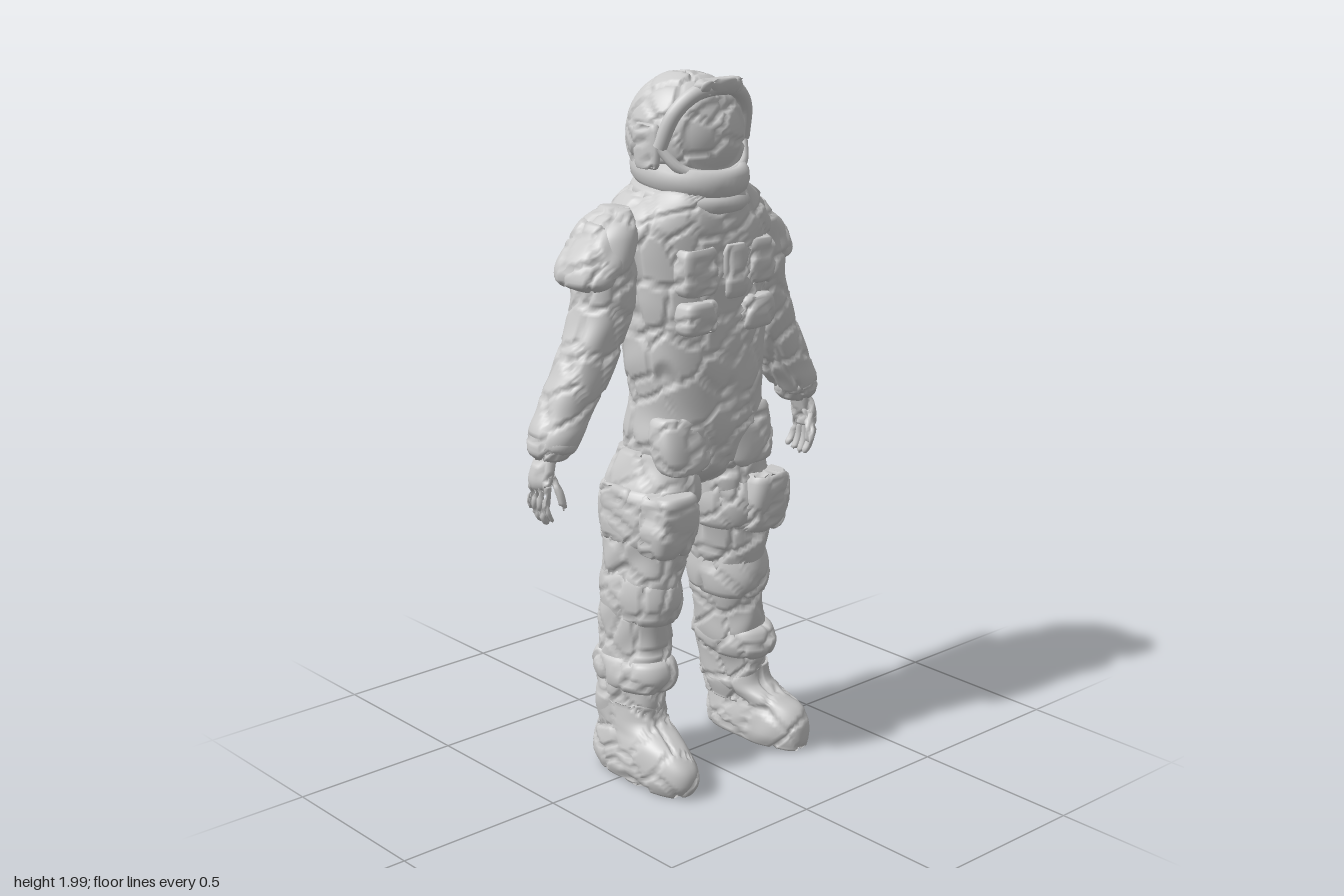
import * as THREE from 'three';

const RES = 0.011, CELL = 0.105;
const material = new THREE.MeshStandardMaterial({ color: 0xcccccc });

// repeatable hash, 0..1
function hash(a, b, c, k) {
  const s = Math.sin(a * 127.1 + b * 311.7 + c * 74.7 + k * 53.3) * 43758.5453;
  return s - Math.floor(s);
}

// distance to the nearest crack between shards, and the shard's own lift
function shard(p) {
  const seeds = [];
  const [ci, cj, ck] = [p.x, p.y, p.z].map((v) => Math.floor(v / CELL));
  for (let i = ci - 1; i <= ci + 1; i++)
    for (let j = cj - 1; j <= cj + 1; j++)
      for (let k = ck - 1; k <= ck + 1; k++) {
        const x = (i + hash(i, j, k, 1)) * CELL, y = (j + hash(i, j, k, 2)) * CELL, z = (k + hash(i, j, k, 3)) * CELL;
        seeds.push({ x, y, z, lift: hash(i, j, k, 4) - 0.5, d: (x - p.x) ** 2 + (y - p.y) ** 2 + (z - p.z) ** 2 });
      }
  let near = seeds[0];
  for (const s of seeds) if (s.d < near.d) near = s;
  let edge = 1;
  for (const s of seeds) if (s !== near)
    edge = Math.min(edge, (s.d - near.d) / (2 * Math.hypot(s.x - near.x, s.y - near.y, s.z - near.z)));
  return { edge, lift: near.lift };
}

// push the surface into soft folds and carve the cracks
function crack(geo, folds) {
  geo.computeVertexNormals();
  const pos = geo.attributes.position, nor = geo.attributes.normal;
  const p = new THREE.Vector3(), n = new THREE.Vector3();
  for (let i = 0; i < pos.count; i++) {
    p.fromBufferAttribute(pos, i);
    n.fromBufferAttribute(nor, i);
    const { edge, lift } = shard(p);
    const fold = Math.sin(p.y * 40 + 4 * Math.sin(p.x * 11 + p.z * 9)) * Math.sin(p.x * 17 - p.z * 13 + p.y * 9);
    const groove = edge < 0.006 ? -0.013 * (1 - edge / 0.006) : 0;
    p.addScaledVector(n, folds * fold + lift * 0.004 + groove);
    pos.setXYZ(i, p.x, p.y, p.z);
  }
  geo.computeVertexNormals();
  return geo;
}

const spline = (a, b, c, d, t) =>
  0.5 * (2 * b + (c - a) * t + (2 * a - 5 * b + 4 * c - d) * t * t + (3 * b - a - 3 * c + d) * t * t * t);

// closed skin through level sections [x, y, z, radiusX, radiusZ], listed upwards
function loft(rings, { power = 2.2, folds = 0.0025, warp } = {}) {
  const last = rings.length - 1, sections = [];
  for (let r = 0; r < last; r++) {
    const q = [rings[Math.max(r - 1, 0)], rings[r], rings[r + 1], rings[Math.min(r + 2, last)]];
    const span = Math.hypot(q[2][1] - q[1][1], Math.max(Math.abs(q[2][3] - q[1][3]), Math.abs(q[2][4] - q[1][4])));
    const steps = Math.max(1, Math.ceil(span / RES));
    for (let s = 0; s < steps; s++)
      sections.push(rings[r].map((_, k) => spline(q[0][k], q[1][k], q[2][k], q[3][k], s / steps)));
  }
  sections.push(rings[last]);
  const widest = Math.max(...rings.map((r) => r[3] + r[4]));
  const segs = Math.max(10, Math.ceil(Math.PI * widest / RES));
  const verts = [], index = [];
  const bend = (c) => Math.sign(c) * Math.abs(c) ** (2 / power);
  for (const [x, y, z, rx, rz] of sections)
    for (let i = 0; i < segs; i++) {
      const a = (i / segs) * Math.PI * 2;
      const v = new THREE.Vector3(x + Math.max(rx, 0.002) * bend(Math.cos(a)), y, z + Math.max(rz, 0.002) * bend(Math.sin(a)));
      if (warp) warp(v);
      verts.push(v.x, v.y, v.z);
    }
  const bottom = sections.length * segs, top = bottom + 1;
  verts.push(...rings[0].slice(0, 3), ...rings[last].slice(0, 3));
  for (let i = 0; i < segs; i++) {
    const n = (i + 1) % segs, t = (sections.length - 1) * segs;
    index.push(bottom, i, n, top, t + n, t + i);
    for (let j = 0; j < sections.length - 1; j++) {
      const a = j * segs + i, b = j * segs + n;
      index.push(a, a + segs, b, b, a + segs, b + segs);
    }
  }
  const geo = new THREE.BufferGeometry();
  geo.setAttribute('position', new THREE.Float32BufferAttribute(verts, 3));
  geo.setIndex(index);
  return crack(geo, folds);
}

// soft-cornered pouch, or with a low power a padded wrap
function pouch(x, y, z, w, h, d, lean = 0, power = 3.6) {
  const ring = (t, s) => [x, y + t * h / 2, z + t * lean, s * w / 2, s * d / 2];
  return loft([ring(-1, 0.72), ring(-0.8, 0.92), ring(0, 1.02), ring(0.8, 0.92), ring(1, 0.72)], { power, folds: 0.0015 });
}

function ellipsoidRings(x, y, z, rx, ry, rz) {
  return Array.from({ length: 13 }, (_, i) => {
    const a = (i / 12 - 0.5) * Math.PI;
    return [x, y + ry * Math.sin(a), z, rx * Math.cos(a), rz * Math.cos(a)];
  });
}

export function createModel() {
  const model = new THREE.Group();
  const add = (name, geo, parent = model) => {
    const mesh = new THREE.Mesh(geo, material);
    mesh.name = name;
    parent.add(mesh);
    return mesh;
  };
  const ringBand = (name, at, radius, tube, scale, tilt) => {
    const band = add(name, new THREE.TorusGeometry(radius, tube, 10, 44));
    band.position.set(...at);
    band.scale.set(...scale);
    band.rotation.set(Math.PI / 2 + tilt, 0, 0);
  };

  // suit body
  add('torso', loft([
    [0.01, 0.85, -0.02, 0.04, 0.08], [0.01, 0.91, -0.005, 0.17, 0.14], [0.015, 1.0, 0.005, 0.205, 0.15],
    [0.02, 1.1, 0.015, 0.2, 0.145], [0.018, 1.22, 0.015, 0.212, 0.148], [0.02, 1.35, 0, 0.222, 0.163],
    [0.02, 1.48, -0.01, 0.232, 0.172], [0.022, 1.59, -0.018, 0.24, 0.178], [0.022, 1.65, -0.015, 0.205, 0.17],
    [0.02, 1.7, 0, 0.14, 0.15]], { power: 2.4 }));

  // neck rings and helmet
  ringBand('lowerCollar', [0.018, 1.67, -0.003], 0.132, 0.03, [1, 1.08, 1], 0.1);
  ringBand('upperCollar', [0.015, 1.73, -0.003], 0.136, 0.024, [0.95, 1.12, 1.7], 0.14);
  add('helmet', loft(ellipsoidRings(0.015, 1.828, -0.02, 0.158, 0.171, 0.16), {
    folds: 0.001,
    warp: (v) => { // slightly recessed face glass
      const e = ((v.x - 0.015) / 0.12) ** 2 + ((v.y - 1.83) / 0.105) ** 2;
      if (v.z > 0 && e < 1) v.z -= 0.012 * Math.min(1, (1 - e) * 4);
    },
  }));
  const tube = (points, radius) => new THREE.TubeGeometry(
    new THREE.CatmullRomCurve3(points.map((p) => new THREE.Vector3(...p))), 40, radius, 10);
  add('visorBrow', tube([[-0.135, 1.81, 0.045], [-0.112, 1.9, 0.078], [-0.06, 1.95, 0.102], [0.015, 1.963, 0.112],
    [0.09, 1.95, 0.102], [0.142, 1.9, 0.078], [0.165, 1.81, 0.045]], 0.021));
  add('chinRim', tube([[-0.135, 1.81, 0.045], [-0.1, 1.755, 0.085], [-0.05, 1.735, 0.112], [0.015, 1.73, 0.122],
    [0.08, 1.735, 0.112], [0.13, 1.755, 0.085], [0.165, 1.81, 0.045]], 0.015));
  add('visorPeak', pouch(0.015, 1.967, 0.113, 0.16, 0.045, 0.06, 0.008));
  for (const s of [-1, 1]) add('earCap', pouch(0.015 + s * 0.155, 1.81, 0, 0.036, 0.12, 0.1, 0, 2.6));

  // chest, hip and back equipment
  add('chestPouchRight', pouch(-0.09, 1.36, 0.14, 0.12, 0.09, 0.085));
  add('chestPouchLeft', pouch(0.12, 1.35, 0.14, 0.12, 0.095, 0.085));
  add('chestPanel', pouch(0.035, 1.475, 0.145, 0.09, 0.15, 0.075));
  add('chestPocketRight', pouch(-0.09, 1.485, 0.14, 0.13, 0.13, 0.07));
  add('chestPocketLeft', pouch(0.14, 1.485, 0.13, 0.11, 0.13, 0.075));
  add('hipFlapRight', pouch(-0.105, 1.0, 0.095, 0.18, 0.16, 0.115, -0.012, 2.8));
  add('hipFlapLeft', pouch(0.125, 0.99, 0.095, 0.19, 0.17, 0.115, -0.012, 2.8));
  for (const x of [-0.095, 0.115]) add('backPack', pouch(x, 1.38, -0.185, 0.09, 0.21, 0.085, -0.013));

  // arms and hands
  for (const s of [-1, 1]) {
    const side = s < 0 ? 'right' : 'left';
    const shift = s < 0 ? 0 : 0.004;
    const mirror = (rings) => rings.map(([x, ...rest]) => [s * x + shift, ...rest]);
    const arm = new THREE.Group();
    arm.name = side + 'Arm';
    model.add(arm);
    add('sleeve', loft(mirror([
      [0.46, 1.0, -0.033, 0.04, 0.045], [0.457, 1.022, -0.033, 0.06, 0.068], [0.438, 1.07, -0.033, 0.074, 0.078],
      [0.408, 1.12, -0.033, 0.08, 0.074], [0.365, 1.2, -0.03, 0.088, 0.077], [0.315, 1.3, -0.025, 0.086, 0.08],
      [0.28, 1.4, -0.025, 0.082, 0.088], [0.27, 1.5, -0.035, 0.085, 0.098], [0.245, 1.59, -0.045, 0.07, 0.098],
      [0.215, 1.65, -0.045, 0.03, 0.05]])), arm);
    add('shoulderPad', loft(mirror([
      [0.315, 1.44, -0.038, 0.05, 0.06], [0.322, 1.465, -0.038, 0.075, 0.093], [0.3, 1.515, -0.04, 0.08, 0.1],
      [0.275, 1.565, -0.043, 0.068, 0.092], [0.255, 1.615, -0.045, 0.045, 0.06]]), { folds: 0.006 }), arm);
    add('cuff', pouch(s * 0.452 + shift, 1.045, -0.033, 0.126, 0.05, 0.152, 0, 2.2), arm);
    add('palm', loft(mirror([
      [0.492, 0.91, -0.035, 0.012, 0.03], [0.495, 0.94, -0.032, 0.022, 0.044], [0.486, 0.98, -0.03, 0.025, 0.04],
      [0.47, 1.03, -0.03, 0.025, 0.03]]), { folds: 0.001 }), arm);
    // four curled fingers and a thumb
    for (let f = 0; f < 4; f++) {
      const z = -f * 0.024, drop = [0.01, 0, 0.005, 0.02][f];
      add('finger', loft(mirror([
        [0.478, 0.818 + drop, z - 0.008, 0.004, 0.004], [0.482, 0.828 + drop, z - 0.007, 0.01, 0.01],
        [0.499, 0.875, z - 0.003, 0.012, 0.011], [0.497, 0.94, z * 0.8, 0.013, 0.012]]), { folds: 0 }), arm);
    }
    add('thumb', loft(mirror([
      [0.462, 0.865, 0.026, 0.004, 0.004], [0.464, 0.876, 0.025, 0.011, 0.011],
      [0.472, 0.92, 0.018, 0.013, 0.013], [0.482, 0.965, -0.01, 0.014, 0.016]]), { folds: 0 }), arm);
  }

  // legs and boots; the left leg stands a little wider
  const legs = [
    { side: 'right', x: [-0.19, -0.185, -0.178, -0.172, -0.172, -0.158, -0.143, -0.128, -0.11], toe: -0.194, heel: -0.185, reach: 0.01 },
    { side: 'left', x: [0.23, 0.222, 0.21, 0.195, 0.177, 0.162, 0.147, 0.137, 0.13], toe: 0.25, heel: 0.226, reach: -0.003 },
  ];
  for (const { side, x, toe, heel, reach } of legs) {
    const leg = new THREE.Group();
    leg.name = side + 'Leg';
    model.add(leg);
    const section = [
      [0.12, -0.04, 0.07, 0.1], [0.2, -0.04, 0.076, 0.112], [0.28, -0.035, 0.082, 0.118], [0.38, -0.03, 0.086, 0.12],
      [0.5, -0.022, 0.084, 0.122], [0.62, -0.008, 0.096, 0.134], [0.75, 0, 0.11, 0.14], [0.86, 0, 0.116, 0.146],
      [0.97, 0, 0.09, 0.12]];
    add('trouser', loft(section.map(([y, z, rx, rz], i) => [x[i], y, z, rx, rz]), { folds: 0.005 }), leg);
    add('kneeWrap', pouch((x[4] + x[5]) / 2, 0.555, -0.01, 0.192, 0.16, 0.272, 0, 2.2), leg);
    add('shinWrap', pouch(x[2], 0.325, -0.022, 0.184, 0.1, 0.282, 0, 2.3), leg);
    add('thighWrap', pouch(x[6], 0.79, 0, 0.238, 0.18, 0.31, 0, 2.3), leg);
    const out = Math.sign(toe);
    add('thighPocket', pouch(out * 0.175, 0.785, 0.115, 0.15, 0.18, 0.14, 0.012), leg);
    add('sidePocket', pouch(out * 0.232, 0.8, -0.02, 0.06, 0.16, 0.14), leg);
    add('boot', loft([
      [toe, 0.01, 0.04, 0.068, 0.185], [toe, 0.045, 0.042, 0.08, 0.194 + reach], [toe, 0.09, 0.04, 0.079, 0.192 + reach],
      [toe, 0.13, 0.026, 0.074, 0.176], [(toe + heel) / 2, 0.155, 0.005, 0.073, 0.148], [heel, 0.185, -0.03, 0.077, 0.124],
      [heel, 0.24, -0.038, 0.076, 0.113]], {
      folds: 0.002, power: 2.4,
      warp: (v) => { v.x += (toe - heel) * (v.z - 0.04) * 1.5; }, // toes turn outwards
    }), leg);
  }
  return model;
}
